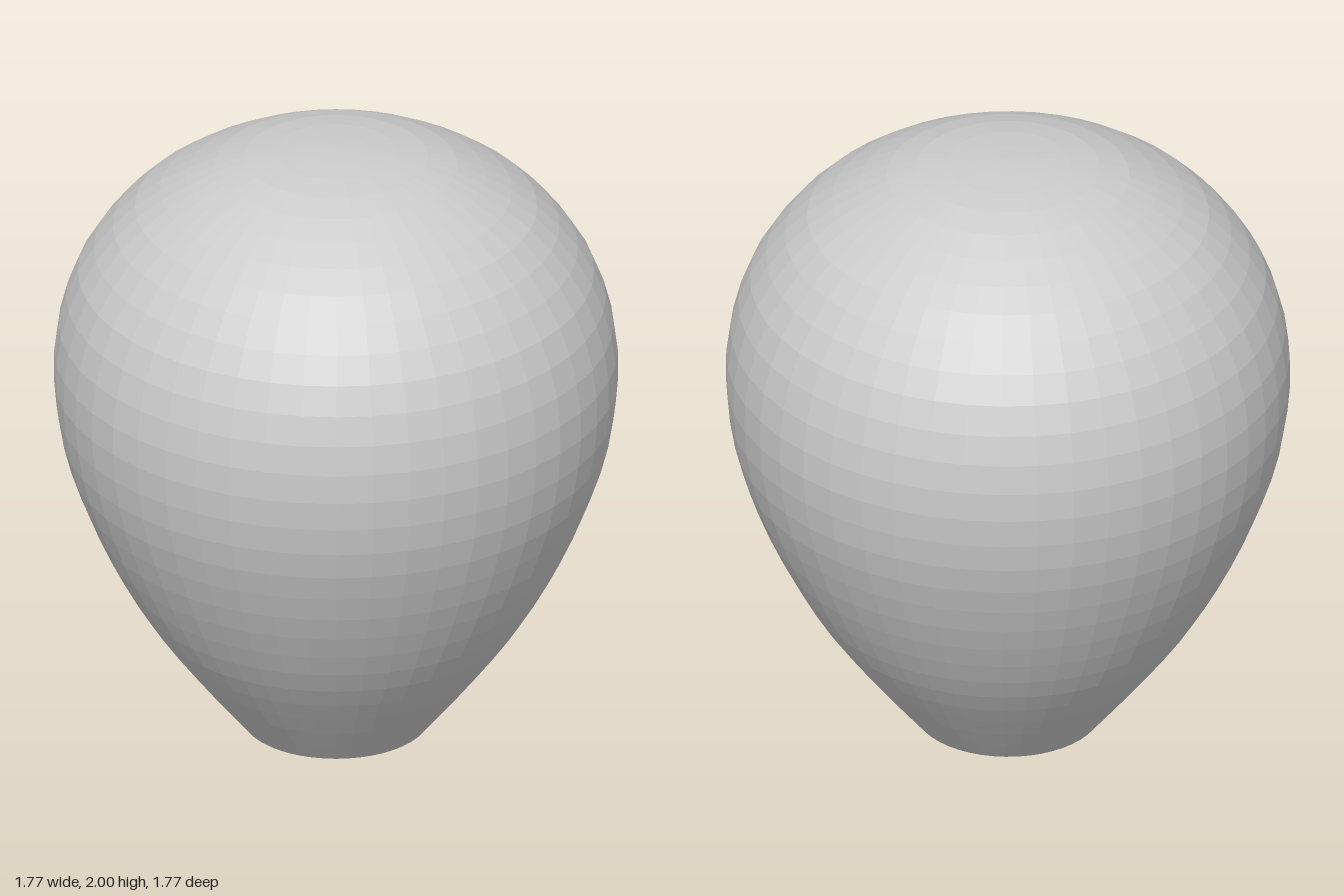
import * as THREE from 'three';

const SEGMENTS = 48;
const BORE_RADIUS = 0.2;
const BORE_DEPTH = 0.8;

export function createModel() {
  const group = new THREE.Group();
  group.name = 'knob';
  const material = new THREE.MeshStandardMaterial({ color: 0xcccccc, flatShading: true });

  const addLathe = (name, points) => {
    const mesh = new THREE.Mesh(new THREE.LatheGeometry(points, SEGMENTS), material);
    mesh.name = name;
    group.add(mesh);
  };
  const v = (r, y) => new THREE.Vector2(r, y);

  // Rounded body: narrow foot, full shoulder, gently domed crown
  const profile = new THREE.SplineCurve([
    v(0.295, 0), v(0.455, 0.2), v(0.6, 0.4), v(0.712, 0.6), v(0.8, 0.8),
    v(0.862, 1), v(0.888, 1.22), v(0.866, 1.42), v(0.79, 1.61),
    v(0.63, 1.8), v(0.39, 1.94), v(0.2, 1.987), v(0, 2),
  ]).getSpacedPoints(28);
  profile[profile.length - 1].set(0, 2);
  addLathe('body', profile);

  // Flat annular foot
  addLathe('foot', [v(BORE_RADIUS, 0), v(0.295, 0)]);

  // Blind hole in the underside, closed by a flat end
  addLathe('bore', [v(0, BORE_DEPTH), v(BORE_RADIUS, BORE_DEPTH), v(BORE_RADIUS, 0)]);

  return group;
}
